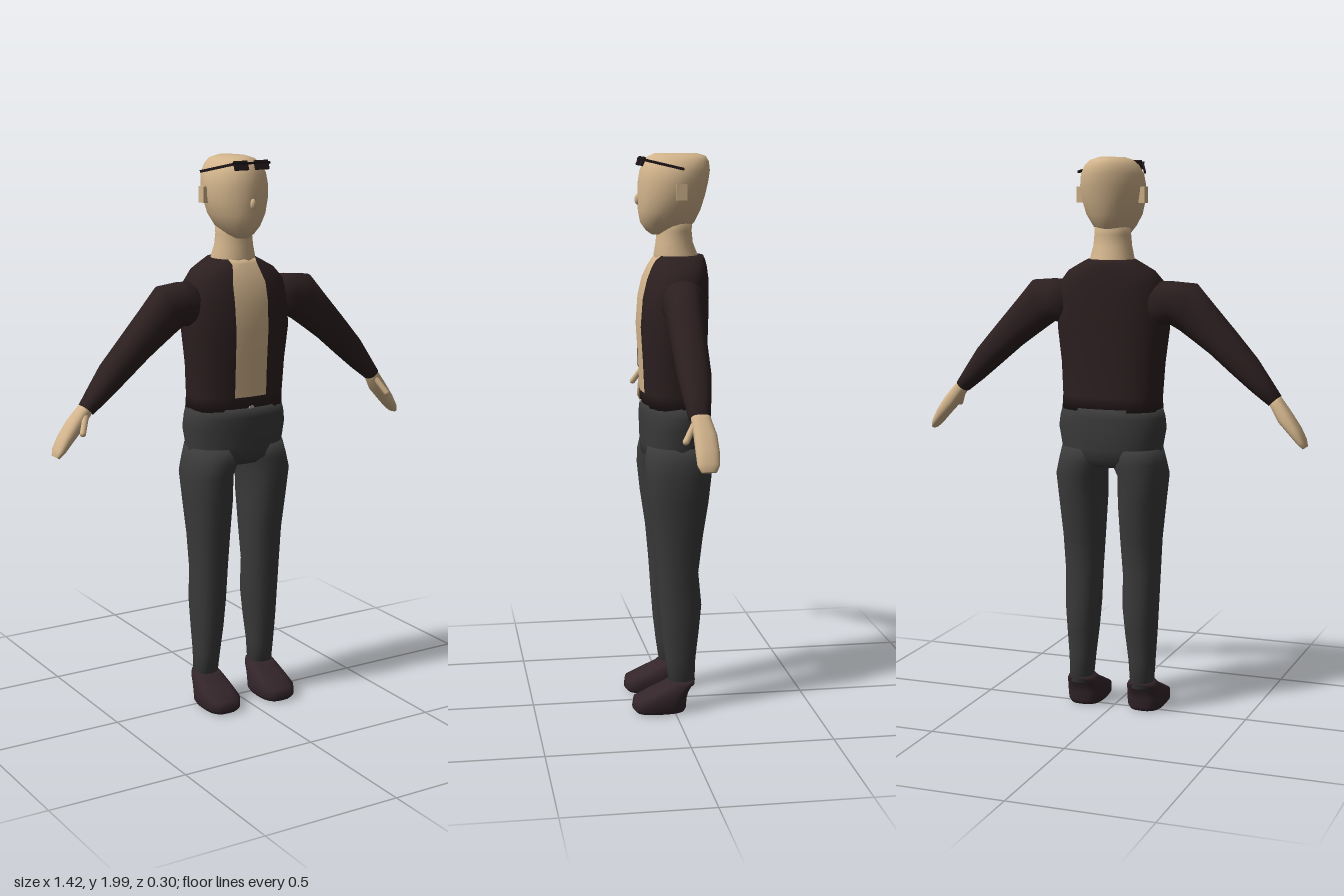
import * as THREE from 'three';

const mat = (name, color) => Object.assign(new THREE.MeshStandardMaterial({ color }), { name });
const V = (x, y, z) => new THREE.Vector3(x, y, z);

// Signed power, turns an ellipse into a rounder-cornered section when e < 1
const sp = (n, e) => Math.sign(n) * Math.pow(Math.abs(n), e);

// Joins rings {c, u, v, strip} into a closed smooth skin; strip fixes the half width of
// the two front columns, and isStrip(row) tells which rows of them use the second material
function loft(rings, e = 1, isStrip = null, sides = 24) {
  const pos = [], main = [], strip = [];
  for (const r of rings) {
    const a = r.strip ? Math.asin(Math.pow(r.strip / r.u.length(), 1 / e)) : (2 * Math.PI) / sides;
    for (let j = 0; j < sides; j++) {
      const t = j === 0 ? -a : j === 1 ? 0 : a + ((j - 2) / (sides - 2)) * (2 * Math.PI - 2 * a);
      const p = r.c.clone().addScaledVector(r.u, sp(Math.sin(t), e)).addScaledVector(r.v, sp(Math.cos(t), e));
      pos.push(p.x, p.y, p.z);
    }
  }
  for (let i = 0; i < rings.length - 1; i++) {
    for (let j = 0; j < sides; j++) {
      const k = (j + 1) % sides, a = i * sides + j, b = i * sides + k;
      const list = isStrip && j < 2 && isStrip(i) ? strip : main;
      list.push(a, b, b + sides, a, b + sides, a + sides);
    }
  }
  // end caps
  const last = (rings.length - 1) * sides, n = rings.length * sides;
  for (const r of [rings[0], rings[rings.length - 1]]) pos.push(r.c.x, r.c.y, r.c.z);
  for (let j = 0; j < sides; j++) {
    const k = (j + 1) % sides;
    main.push(n, k, j, n + 1, last + j, last + k);
  }
  const g = new THREE.BufferGeometry();
  g.setAttribute('position', new THREE.Float32BufferAttribute(pos, 3));
  g.setIndex([...main, ...strip]);
  if (isStrip) {
    g.addGroup(0, main.length, 0);
    g.addGroup(main.length, strip.length, 1);
  }
  g.computeVertexNormals();
  return g;
}

// Level ring: height, centre x, half width, front z, back z
const level = ([y, x, w, f, b, strip]) => ({
  c: V(x, y, (f + b) / 2), u: V(w, 0, 0), v: V(0, 0, (f - b) / 2), strip,
});
// Arm ring: upper edge x,y, lower edge x,y, front z, back z
const limb = (s) => ([tx, ty, bx, by, f, b]) => ({
  c: V((s * (tx + bx)) / 2, (ty + by) / 2, (f + b) / 2),
  u: V((bx - tx) / 2, (s * (by - ty)) / 2, 0), v: V(0, 0, (f - b) / 2),
});

export function createModel() {
  const skin = mat('skin', 0xd2b48c), shirt = mat('jacket brown', 0x2c1f20);
  const pants = mat('trouser grey', 0x3a3a3a), leather = mat('shoe brown', 0x33252a);
  const black = mat('glasses black', 0x1e1517), metal = mat('button metal', 0xb0a8a0);
  const model = new THREE.Group();
  const add = (name, geo, m, parent = model) => {
    const mesh = new THREE.Mesh(geo, m);
    mesh.name = name;
    parent.add(mesh);
    return mesh;
  };

  // Open jacket with bare chest strip
  const torso = [
    [1.115, 0, 0.183, 0.098, -0.14, 0.062], [1.165, 0, 0.181, 0.1, -0.136, 0.064],
    [1.28, 0, 0.188, 0.105, -0.132, 0.064], [1.4, 0, 0.203, 0.112, -0.135, 0.065],
    [1.5, 0, 0.2, 0.105, -0.137, 0.067], [1.565, 0, 0.188, 0.09, -0.136, 0.066],
    [1.605, 0, 0.155, 0.072, -0.132, 0.055], [1.63, 0, 0.11, 0.06, -0.128, 0.05],
    [1.645, 0, 0.082, 0.052, -0.122, 0.055],
  ].map(level);
  add('jacket', loft(torso, 0.85, (i) => i >= 1), [shirt, skin]);

  // Neck and head
  add('neck', loft([
    [1.6, 0, 0.085, 0.052, -0.115], [1.65, 0, 0.078, 0.052, -0.102], [1.69, 0, 0.069, 0.045, -0.086],
    [1.73, 0, 0.065, 0.042, -0.082], [1.78, 0, 0.065, 0.04, -0.085],
  ].map(level)), skin);
  add('head', loft([
    [1.718, 0, 0.03, 0.06, -0.03], [1.732, 0, 0.05, 0.08, -0.065], [1.76, 0, 0.074, 0.1, -0.092],
    [1.8, 0, 0.098, 0.108, -0.112], [1.85, 0, 0.111, 0.11, -0.128], [1.9, 0, 0.115, 0.108, -0.14],
    [1.94, 0, 0.109, 0.102, -0.146], [1.97, 0, 0.092, 0.088, -0.143], [1.988, 0, 0.07, 0.072, -0.132],
    [1.998, 0, 0.038, 0.048, -0.1],
  ].map(level)), skin);
  const nose = add('nose', new THREE.SphereGeometry(0.012, 12, 8), skin);
  nose.position.set(0, 1.84, 0.108);
  nose.scale.set(0.9, 1.6, 1);

  // Glasses pushed up on the forehead
  const glasses = new THREE.Group();
  glasses.name = 'glasses';
  model.add(glasses);
  add('bridge', new THREE.BoxGeometry(0.15, 0.007, 0.007), black, glasses).position.set(0, 1.978, 0.096);

  // Hips and fly button
  add('hips', loft([
    [0.915, 0, 0.16, 0.07, -0.115], [0.94, 0, 0.186, 0.096, -0.136], [0.98, 0, 0.184, 0.101, -0.144],
    [1.05, 0, 0.197, 0.103, -0.145], [1.09, 0, 0.192, 0.103, -0.143], [1.125, 0, 0.182, 0.1, -0.141],
  ].map(level), 0.9), pants);
  add('button', new THREE.BoxGeometry(0.018, 0.008, 0.006), metal).position.set(0, 1.128, 0.1);

  for (const s of [1, -1]) {
    const side = s > 0 ? 'left' : 'right';

    // Ear, lens and temple
    add(side + 'Ear', new THREE.BoxGeometry(0.022, 0.056, 0.036), skin).position.set(s * 0.115, 1.868, -0.028);
    const lens = add(side + 'Lens', new THREE.BoxGeometry(0.054, 0.032, 0.008), black, glasses);
    lens.position.set(s * 0.041, 1.971, 0.097);
    lens.rotation.x = -0.4;
    const from = V(s * 0.07, 1.977, 0.095), to = V(s * 0.124, 1.946, -0.035);
    const temple = add(side + 'Temple', new THREE.BoxGeometry(0.006, 0.009, from.distanceTo(to)), black, glasses);
    temple.position.copy(from).lerp(to, 0.5);
    temple.lookAt(to);

    // Sleeve
    add(side + 'Sleeve', loft([
      [0.14, 1.57, 0.16, 1.41, 0.05, -0.1], [0.22, 1.572, 0.22, 1.42, 0.055, -0.095],
      [0.305, 1.565, 0.25, 1.4, 0.055, -0.077], [0.37, 1.49, 0.3, 1.365, 0.052, -0.072],
      [0.445, 1.405, 0.36, 1.322, 0.05, -0.068], [0.527, 1.31, 0.44, 1.255, 0.045, -0.066],
      [0.575, 1.24, 0.51, 1.197, 0.036, -0.055], [0.612, 1.185, 0.572, 1.15, 0.028, -0.044],
    ].map(limb(s)), 0.9), shirt);

    // Hand and thumb
    add(side + 'Hand', loft([
      [0.6, 1.195, 0.57, 1.165, 0.022, -0.04], [0.62, 1.172, 0.584, 1.14, 0.02, -0.046],
      [0.652, 1.132, 0.61, 1.097, 0.018, -0.058], [0.687, 1.08, 0.648, 1.058, 0.018, -0.06],
      [0.706, 1.04, 0.678, 1.026, 0.017, -0.057], [0.711, 1.016, 0.698, 1.008, 0.006, -0.045],
    ].map(limb(s)), 0.8), skin);
    const base = V(s * 0.603, 1.148, 0.012), tip = V(s * 0.63, 1.098, 0.043);
    const thumb = add(side + 'Thumb', new THREE.CapsuleGeometry(0.011, base.distanceTo(tip), 4, 10), skin);
    thumb.position.copy(base).lerp(tip, 0.5);
    thumb.quaternion.setFromUnitVectors(V(0, 1, 0), tip.clone().sub(base).normalize());

    // Trouser leg
    add(side + 'Leg', loft([
      [0.1, s * 0.117, 0.042, 0.015, -0.076], [0.2, s * 0.115, 0.048, 0.03, -0.08],
      [0.3, s * 0.112, 0.057, 0.042, -0.092], [0.4, s * 0.11, 0.064, 0.05, -0.102],
      [0.52, s * 0.11, 0.067, 0.058, -0.09], [0.65, s * 0.109, 0.074, 0.07, -0.106],
      [0.78, s * 0.112, 0.083, 0.089, -0.126], [0.88, s * 0.117, 0.088, 0.099, -0.136],
      [0.93, s * 0.1, 0.094, 0.1, -0.14], [0.98, s * 0.092, 0.09, 0.09, -0.135],
    ].map(level), 0.92), pants);

    // Shoe
    add(side + 'Shoe', loft([
      [0.008, s * 0.116, 0.058, 0.138, -0.038], [0.022, s * 0.116, 0.068, 0.15, -0.044],
      [0.055, s * 0.116, 0.07, 0.145, -0.046], [0.08, s * 0.116, 0.064, 0.092, -0.053],
      [0.105, s * 0.116, 0.056, 0.036, -0.068], [0.122, s * 0.116, 0.046, 0.018, -0.078],
    ].map(level), 0.7), leather);
  }
  return model;
}
